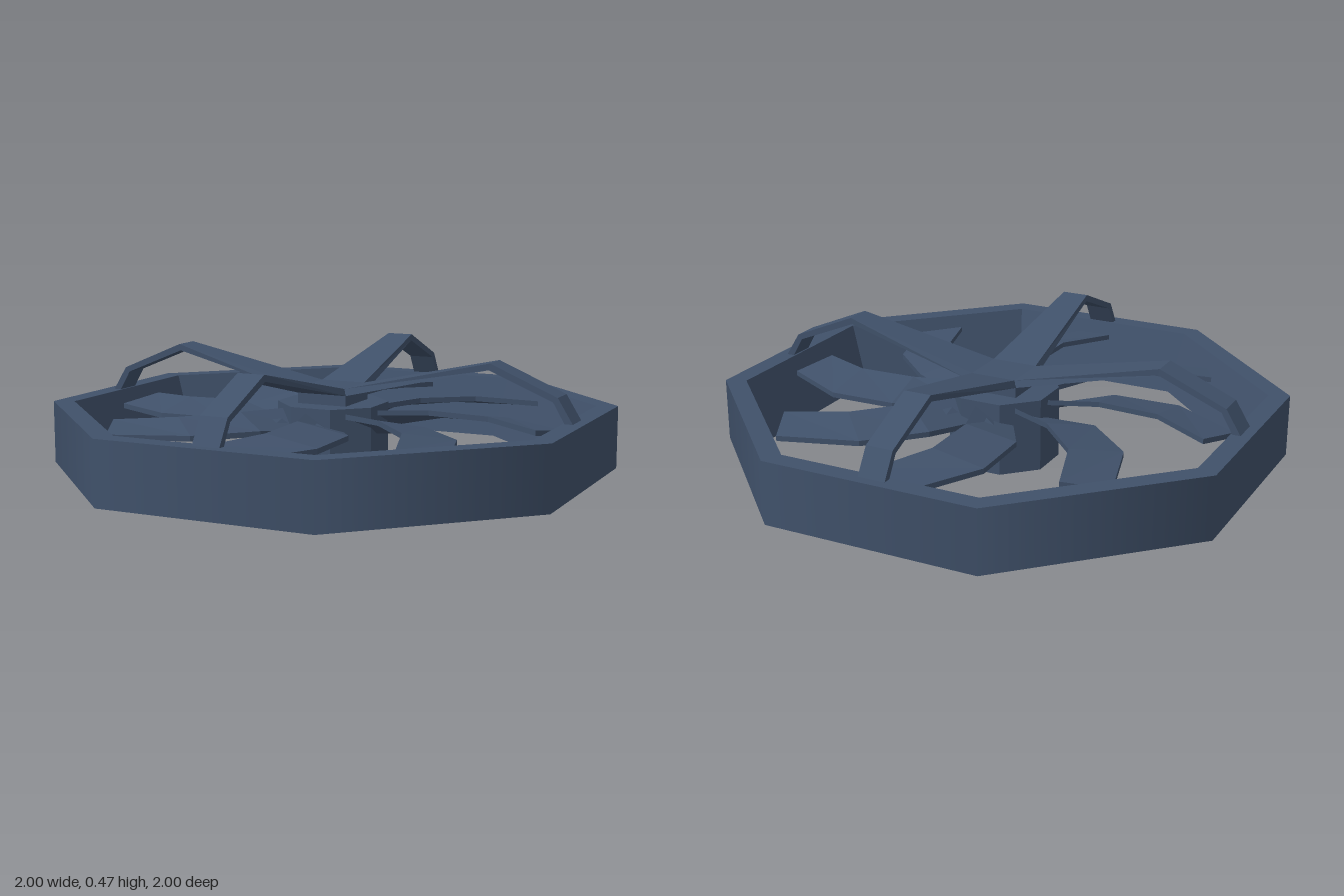
import * as THREE from 'three';

// Housing and hub are open shells underneath, so both sides show
const steel = new THREE.MeshStandardMaterial({ color: 0x40516a, side: THREE.DoubleSide });
steel.name = 'slate blue';

function addMesh(parent, geometry, name) {
  const mesh = new THREE.Mesh(geometry, steel);
  mesh.name = name;
  parent.add(mesh);
  return mesh;
}

function flat(geometry) {
  const g = geometry.toNonIndexed();
  g.computeVertexNormals();
  return g;
}

// Eight-sided turned shape; profile points are [distance to flat side, y]
function octagonLathe(profile) {
  const k = 1 / Math.cos(Math.PI / 8);
  const points = profile.map(([r, y]) => new THREE.Vector2(r * k, y));
  return new THREE.LatheGeometry(points, 8, Math.PI / 8);
}

// Closed bar through four-cornered sections, running along +x
function loft(sections) {
  const index = [];
  const last = (sections.length - 1) * 4;
  for (let i = 0; i < last; i += 4) {
    for (let j = 0; j < 4; j++) {
      const a = i + j, b = i + (j + 1) % 4;
      index.push(a, b, b + 4, a, b + 4, a + 4);
    }
  }
  index.push(0, 2, 1, 0, 3, 2, last, last + 1, last + 2, last, last + 2, last + 3);
  const g = new THREE.BufferGeometry();
  g.setAttribute('position', new THREE.Float32BufferAttribute(sections.flat(2), 3));
  g.setIndex(index);
  return flat(g);
}

export function createModel() {
  const model = new THREE.Group();
  model.name = 'ductedFan';

  // Octagonal housing, open below: soft outer wall, crisp top rim, sloping inner wall
  const ring = new THREE.Group();
  ring.name = 'housingRing';
  model.add(ring);
  addMesh(ring, octagonLathe([[1, 0.03], [1, 0.27]]), 'outerWall');
  addMesh(ring, flat(octagonLathe([[1, 0.27], [0.925, 0.27], [0.845, 0.03]])), 'innerWall');

  // Motor hub, open below, with the stepped block carrying the arms
  addMesh(model, flat(octagonLathe([[0.195, 0], [0.195, 0.28], [0, 0.28]])), 'hub');
  addMesh(model, new THREE.BoxGeometry(0.2, 0.05, 0.2), 'hubCap').position.y = 0.3;
  addMesh(model, new THREE.BoxGeometry(0.18, 0.025, 0.18), 'armPlate').position.y = 0.3325;

  // Swept blades: outer edge [x, y, z], inner edge [x, y, z] per section
  const bladeEdges = [
    [[0.1, 0.18, 0], [0.1, 0.26, 0.14]],
    [[0.42, 0.225, 0.09], [0.295, 0.265, 0.24]],
    [[0.61, 0.225, 0.27], [0.46, 0.26, 0.41]],
    [[0.695, 0.22, 0.57], [0.535, 0.245, 0.645]],
  ];
  const bladeGeometry = loft(bladeEdges.map(([[ox, oy, oz], [ix, iy, iz]]) => [
    [ix, iy, iz], [ix, iy - 0.02, iz], [ox, oy - 0.02, oz], [ox, oy, oz],
  ]));

  // Bent guard arms: top x, y, half width, then underside x, y, half width
  const armGeometry = loft([
    [0.09, 0.345, 0.09, 0.1, 0.32, 0.1],
    [0.65, 0.47, 0.052, 0.645, 0.445, 0.052],
    [0.905, 0.362, 0.052, 0.888, 0.345, 0.052],
    [0.965, 0.265, 0.052, 0.94, 0.255, 0.052],
  ].map(([x, y, w, ux, uy, uw]) => [[x, y, w], [ux, uy, uw], [ux, uy, -uw], [x, y, -w]]));

  for (let i = 0; i < 8; i++) {
    const angle = i * Math.PI / 4;
    addMesh(model, bladeGeometry, 'blade').rotation.y = angle;
    if (i % 2 === 0) addMesh(model, armGeometry, 'guardArm').rotation.y = angle;
  }
  return model;
}
